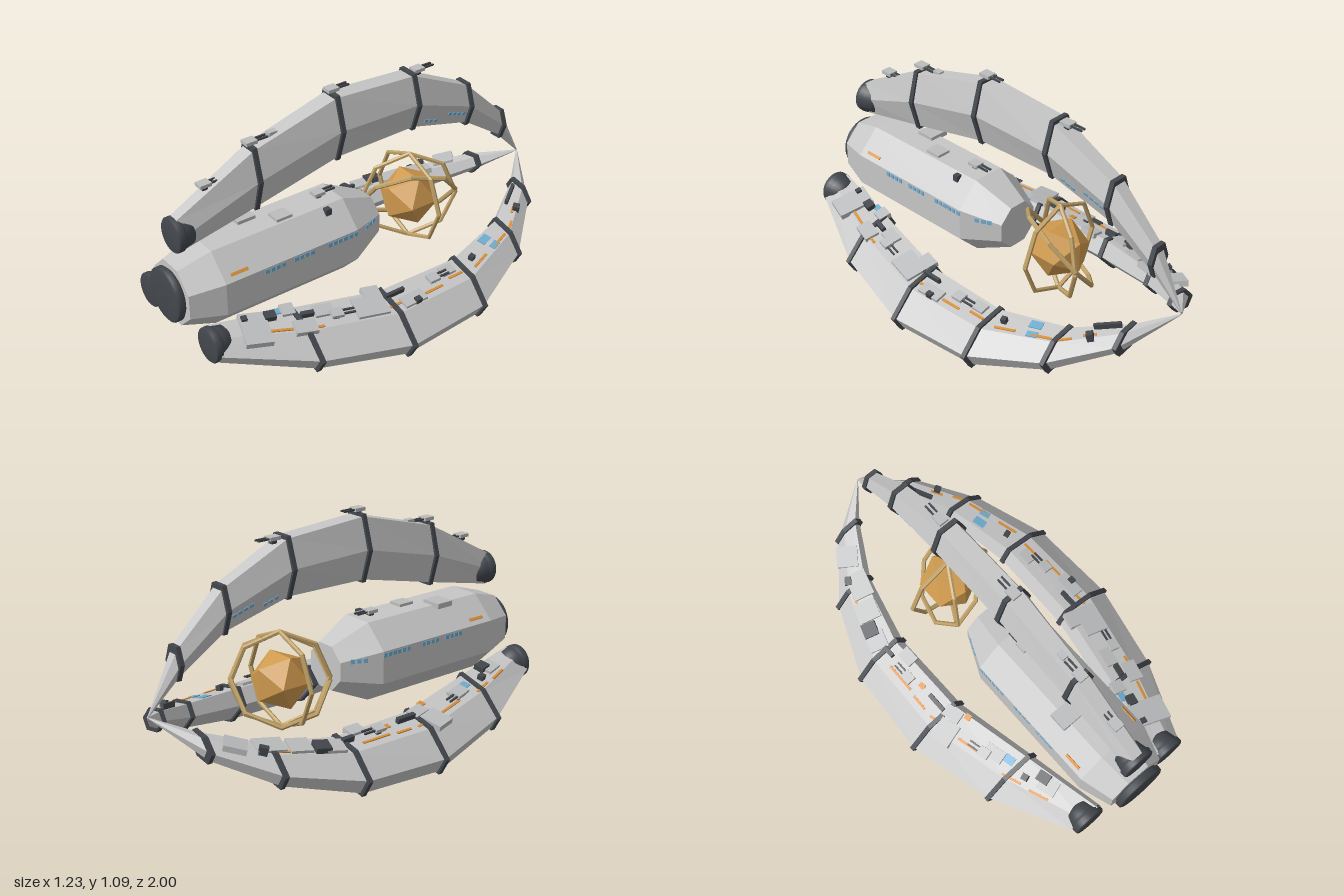
import * as THREE from 'three';

const mat = (name, color) => { const m = new THREE.MeshStandardMaterial({ color }); m.name = name; return m; };
const M = {
  hull: mat('hull grey', 0xc6c6c6), plate: mat('plate grey', 0xbcbdbe), dark: mat('dark metal', 0x43474c),
  core: mat('core amber', 0xcf9a4e), ring: mat('ring brass', 0xbfa066),
  blue: mat('window blue', 0x6faccf), orange: mat('marking orange', 0xd98e35),
};
const AXIS = 0.38;

function add(parent, name, geo, material, x = 0, y = 0, z = 0) {
  const m = new THREE.Mesh(geo, material);
  m.name = name;
  m.position.set(x, y, z);
  parent.add(m);
  return m;
}
const box = (parent, name, material, w, h, d, x, y, z) => add(parent, name, new THREE.BoxGeometry(w, h, d), material, x, y, z);

// Flat-shaded skin over cross-sections, listed from front to back and counter-clockwise
function loft(rings) {
  const pts = [], n = rings[0].length, last = rings[rings.length - 1];
  const tri = (...v) => v.forEach(p => pts.push(...p));
  for (let k = 0; k + 1 < rings.length; k++) for (let i = 0; i < n; i++) {
    const j = (i + 1) % n, a = rings[k][i], b = rings[k][j], c = rings[k + 1][j], d = rings[k + 1][i];
    tri(a, d, b, d, c, b);
  }
  for (let i = 1; i + 1 < n; i++) {
    tri(rings[0][0], rings[0][i], rings[0][i + 1]);
    tri(last[0], last[i + 1], last[i]);
  }
  const g = new THREE.BufferGeometry();
  g.setAttribute('position', new THREE.Float32BufferAttribute(pts, 3));
  g.computeVertexNormals();
  return g;
}

// Arm stations: z, inner radius, outer radius, half width
const ARM = [
  [0.92, 0.2, 0.36, 0.05], [0.54, 0.285, 0.56, 0.07], [0.12, 0.382, 0.672, 0.083], [-0.3, 0.388, 0.645, 0.081],
  [-0.63, 0.298, 0.49, 0.062], [-0.86, 0.145, 0.272, 0.044], [-1, 0, 0.01, 0.003],
];
function station(z) {
  let k = 0;
  while (k < ARM.length - 2 && z < ARM[k + 1][0]) k++;
  const t = (z - ARM[k][0]) / (ARM[k + 1][0] - ARM[k][0]);
  return ARM[k].map((v, i) => v + (ARM[k + 1][i] - v) * t);
}
function hexRing([z, lo, hi, w], grow = 0, dz = 0) {
  const mid = (lo + hi) / 2, a = lo - grow, b = hi + grow, h = w + grow;
  return [[h, mid], [h / 2, b], [-h / 2, b], [-h, mid], [-h / 2, a], [h / 2, a]].map(p => [...p, z + dz]);
}

// Holder lying on the inner slanted face of an arm; u runs from the widest edge to the inner edge
function onFace(arm, side, z, u) {
  const P = (zz, uu) => {
    const [, lo, hi, w] = station(zz);
    return new THREE.Vector3(side * w * (1 - uu / 2), (lo + hi) / 2 + (lo - hi) / 2 * uu, zz);
  };
  const f = P(z + 0.01, u).sub(P(z - 0.01, u)).normalize();
  const across = P(z, 1).sub(P(z, 0));
  const n = f.clone().cross(across).normalize().multiplyScalar(side);
  const g = new THREE.Group();
  g.quaternion.setFromRotationMatrix(new THREE.Matrix4().makeBasis(n.clone().cross(f), n, f));
  g.position.copy(P(z, u));
  arm.add(g);
  return g;
}
// Position across the face of a lower arm for a given sideways distance
function uFor(x, z) {
  const [, lo, hi, w] = station(z);
  const xm = 0.866 * (lo + hi) / 2 + w / 2, xi = 0.866 * lo + w / 4;
  return THREE.MathUtils.clamp((xm - x) / (xm - xi), 0.04, 0.96);
}

function turret(parent, x, y, z) {
  const g = new THREE.Group();
  g.name = 'turret';
  g.position.set(x, y, z);
  parent.add(g);
  box(g, 'turretStalk', M.dark, 0.025, 0.02, 0.025, 0, 0.005, 0);
  box(g, 'turretHead', M.plate, 0.046, 0.016, 0.055, 0, 0.02, 0);
  for (const s of [-1, 1]) box(g, 'turretBarrel', M.dark, 0.008, 0.008, 0.07, s * 0.01, 0.02, -0.05);
}

function nozzle(parent, name, r, y, z, depth) {
  const prof = [[0.5, -depth], [0.78, -depth * 0.85], [0.88, -depth * 0.5], [0.92, -depth * 0.36], [1, -depth * 0.3],
    [1, -depth * 0.06], [0.92, 0], [0.5, 0.003], [0, 0.005]];
  const m = add(parent, name, new THREE.LatheGeometry(prof.map(p => new THREE.Vector2(p[0] * r, p[1])), 32), M.dark, 0, y, z);
  m.rotation.x = Math.PI / 2;
}

function windows(parent, n, w, l, gap, place) {
  for (let i = 0; i < n; i++) box(parent, 'window', M.blue, w[0], w[1], l, place[0], place[1], place[2] + (i - (n - 1) / 2) * gap);
}

function makeArm(name) {
  const arm = new THREE.Group();
  arm.name = name;
  add(arm, 'armHull', loft(ARM.map(s => hexRing(s))), M.hull);
  for (const s of ARM.slice(1, 6)) add(arm, 'armBand', loft([hexRing(s, 0.012, 0.011), hexRing(s, 0.012, -0.011)]), M.dark);
  nozzle(arm, 'armNozzle', 0.08, 0.28, 0.942, 0.1);
  return arm;
}

// Lower-arm fittings as [sideways distance, z, width, length]
const FIT = {
  right: {
    plate: [[0.27, -0.76, 0.1, 0.1], [0.31, -0.62, 0.1, 0.13], [0.36, -0.5, 0.1, 0.1], [0.42, -0.36, 0.09, 0.09],
      [0.36, -0.2, 0.06, 0.08], [0.46, 0.19, 0.11, 0.1], [0.38, 0.15, 0.06, 0.09], [0.36, 0.42, 0.06, 0.1], [0.28, 0.7, 0.07, 0.09]],
    dark: [[0.41, -0.42, 0.07, 0.07], [0.35, -0.67, 0.03, 0.04], [0.41, -0.28, 0.02, 0.06], [0.4, 0.06, 0.02, 0.1],
      [0.27, 0.66, 0.05, 0.06], [0.33, 0.6, 0.03, 0.03]],
    blue: [[0.33, 0.49, 0.04, 0.05]],
    orange: [[0.37, -0.58, 0.012, 0.12], [0.45, -0.15, 0.012, 0.15], [0.46, 0, 0.012, 0.08], [0.4, -0.05, 0.025, 0.03],
      [0.34, 0.21, 0.03, 0.03], [0.45, 0.14, 0.012, 0.12], [0.42, 0.32, 0.012, 0.14], [0.38, 0.56, 0.012, 0.1], [0.34, 0.7, 0.012, 0.1]],
  },
  left: {
    plate: [[0.41, 0.22, 0.11, 0.15], [0.3, 0.74, 0.17, 0.12], [0.35, 0.17, 0.07, 0.08], [0.38, 0.54, 0.07, 0.1],
      [0.34, 0.42, 0.06, 0.09], [0.46, 0.02, 0.06, 0.12], [0.4, -0.22, 0.05, 0.07], [0.27, 0.56, 0.06, 0.06]],
    dark: [[0.28, -0.75, 0.03, 0.03], [0.2, -0.78, 0.015, 0.12], [0.4, -0.37, 0.025, 0.025], [0.48, 0.01, 0.025, 0.03], [0.33, 0.5, 0.02, 0.06],
      [0.27, 0.65, 0.04, 0.05], [0.24, 0.76, 0.025, 0.025], [0.4, 0.08, 0.015, 0.1]],
    blue: [[0.34, -0.5, 0.04, 0.06], [0.39, -0.52, 0.03, 0.05], [0.24, 0.61, 0.03, 0.04]],
    orange: [[0.27, -0.74, 0.012, 0.06], [0.34, -0.66, 0.012, 0.06], [0.38, -0.56, 0.012, 0.1], [0.43, -0.4, 0.012, 0.1],
      [0.44, -0.24, 0.012, 0.08], [0.46, -0.1, 0.012, 0.1], [0.45, 0.1, 0.012, 0.08], [0.4, 0.5, 0.012, 0.08], [0.35, 0.64, 0.012, 0.1]],
  },
};
const THICK = { plate: 0.026, dark: 0.05, blue: 0.008, orange: 0.008 };
const LABEL = { plate: 'armPlate', dark: 'armFitting', blue: 'armWindow', orange: 'armMarking' };

export function createModel() {
  const root = new THREE.Group();
  root.name = 'ship';
  const ship = new THREE.Group();
  ship.name = 'shipAxis';
  ship.position.y = AXIS;
  root.add(ship);

  // Upper arm with ridge turrets and side windows
  const top = makeArm('upperArm');
  ship.add(top);
  for (const z of [0.77, 0.54, 0.12, -0.35]) turret(top, 0, station(z)[2] + 0.008, z);
  box(top, 'ridgeBlock', M.plate, 0.03, 0.025, 0.04, 0, station(0.43)[2], 0.43);
  for (const s of [-1, 1]) for (const [z, n] of [[-0.4, 3], [-0.55, 4]])
    windows(onFace(top, s, z, z < -0.5 ? 0.42 : 0.75), n, [0.016, 0.006], 0.02, 0.03, [0, 0, 0]);

  // Lower arms
  for (const side of [-1, 1]) {
    const key = side > 0 ? 'left' : 'right';
    const arm = makeArm(key + 'LowerArm');
    arm.rotation.z = -side * Math.PI * 2 / 3;
    ship.add(arm);
    for (const kind of Object.keys(THICK)) for (const [x, z, w, l] of FIT[key][kind])
      box(onFace(arm, -side, z, uFor(x, z)), LABEL[kind], M[kind], w, THICK[kind], l, 0, 0, 0);
    for (const [x, z] of [[0.42, -0.12], [0.39, 0.39]]) turret(onFace(arm, -side, z, uFor(x, z)), 0, 0.008, 0);
  }

  // Central octagonal body
  const oct = ([z, a]) => Array.from({ length: 8 }, (_, i) => {
    const t = (i + 0.5) * Math.PI / 4, r = a / Math.cos(Math.PI / 8);
    return [r * Math.cos(t), r * Math.sin(t), z];
  });
  add(ship, 'body', loft([[0.955, 0.14], [0.8, 0.187], [0.12, 0.187], [-0.065, 0.105]].map(oct)), M.hull);
  nozzle(ship, 'mainNozzle', 0.125, 0, 0.995, 0.1);
  box(ship, 'bodyPlate', M.plate, 0.1, 0.025, 0.09, -0.07, 0.19, 0.56);
  box(ship, 'bodyPlate', M.plate, 0.07, 0.02, 0.08, 0.03, 0.19, 0.42);
  turret(ship, 0, 0.188, 0.2);
  box(ship, 'bodyFitting', M.dark, 0.028, 0.03, 0.028, 0.1, 0.17, 0.22);
  for (const s of [-1, 1]) {
    for (const [z, n] of [[0.555, 4], [0.405, 4], [0.2, 6]]) windows(ship, n, [0.006, 0.02], 0.02, 0.028, [s * 0.187, 0.06, z]);
    const bow = new THREE.Group();
    bow.name = 'rearWindows';
    bow.position.set(s * 0.141, 0.045, 0.015);
    bow.rotation.y = s * 0.417;
    ship.add(bow);
    windows(bow, 3, [0.006, 0.02], 0.02, 0.03, [0, 0, 0]);
    box(ship, 'bodyMarking', M.orange, 0.006, 0.014, 0.085, s * 0.166, 0.1, 0.72).rotation.z = s * Math.PI / 4;
  }

  // Faceted core inside three crossed rings
  const reactor = new THREE.Group();
  reactor.name = 'reactor';
  reactor.position.z = -0.32;
  ship.add(reactor);
  add(reactor, 'core', new THREE.IcosahedronGeometry(0.14, 0), M.core);
  const ringGeo = new THREE.TorusGeometry(0.222, 0.011, 6, 8).toNonIndexed();
  ringGeo.computeVertexNormals();
  for (const [x, y] of [[0, 0], [0, Math.PI / 3], [Math.PI / 3, Math.PI / 4]]) add(reactor, 'reactorRing', ringGeo, M.ring).rotation.set(x, y, 0);

  return root;
}
